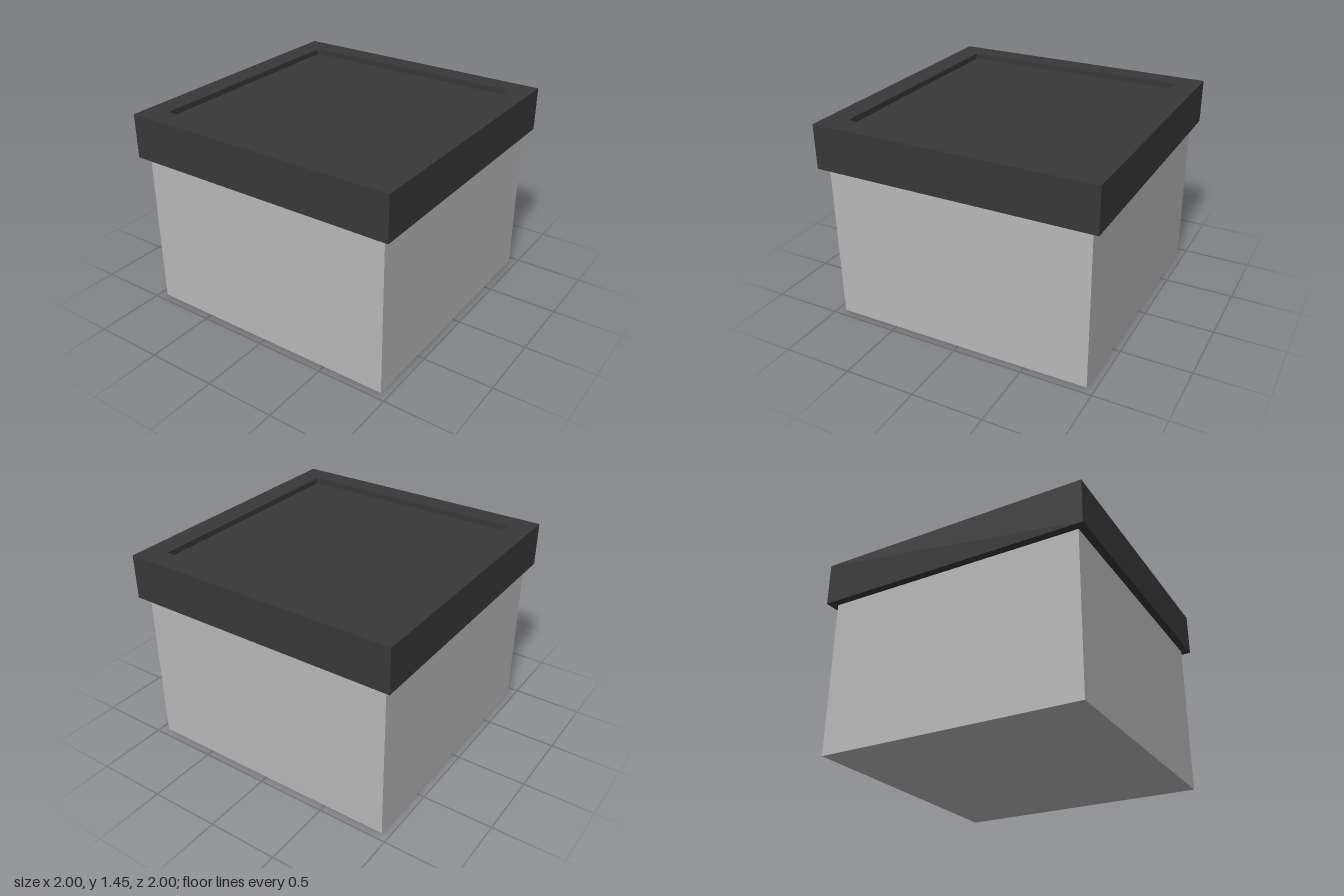
import * as THREE from 'three';

// Square outline centred on the origin, with optional rounded corners
function square(path, h, r = 0) {
  if (r === 0) {
    path.moveTo(-h, -h).lineTo(h, -h).lineTo(h, h).lineTo(-h, h).closePath();
    return path;
  }
  const k = h - r;
  path.moveTo(-k, -h);
  path.absarc(k, -k, r, -Math.PI / 2, 0);
  path.absarc(k, k, r, 0, Math.PI / 2);
  path.absarc(-k, k, r, Math.PI / 2, Math.PI);
  path.absarc(-k, -k, r, Math.PI, Math.PI * 1.5);
  path.closePath();
  return path;
}

export function createModel() {
  const model = new THREE.Group();
  model.name = 'liddedBox';

  const bodyGrey = new THREE.MeshStandardMaterial({ color: 0xb8b8b8 });
  bodyGrey.name = 'bodyGrey';
  const lidCharcoal = new THREE.MeshStandardMaterial({ color: 0x383838 });
  lidCharcoal.name = 'lidCharcoal';

  const bodyTop = 1.14, lidBottom = 1.135, lidTop = 1.45, recess = 0.04;

  const add = (name, geometry, material, y, parent) => {
    const mesh = new THREE.Mesh(geometry, material);
    mesh.name = name;
    mesh.position.y = y;
    parent.add(mesh);
  };

  // Plain box body, just entering the lid
  add('body', new THREE.BoxGeometry(1.89, bodyTop, 1.89), bodyGrey, bodyTop / 2, model);

  const lid = new THREE.Group();
  lid.name = 'lid';
  model.add(lid);

  // Overhanging lid frame with a slightly rounded opening
  const outline = square(new THREE.Shape(), 1);
  outline.holes.push(square(new THREE.Path(), 0.84, 0.015));
  const frame = new THREE.ExtrudeGeometry(outline, {
    depth: lidTop - lidBottom, bevelEnabled: false, curveSegments: 4,
  });
  frame.rotateX(-Math.PI / 2);
  add('lidFrame', frame, lidCharcoal, lidBottom, lid);

  // Sunken panel filling the opening
  const panelHeight = lidTop - recess - lidBottom - 0.005;
  add('lidPanel', new THREE.BoxGeometry(1.69, panelHeight, 1.69), lidCharcoal,
    lidTop - recess - panelHeight / 2, lid);

  return model;
}
